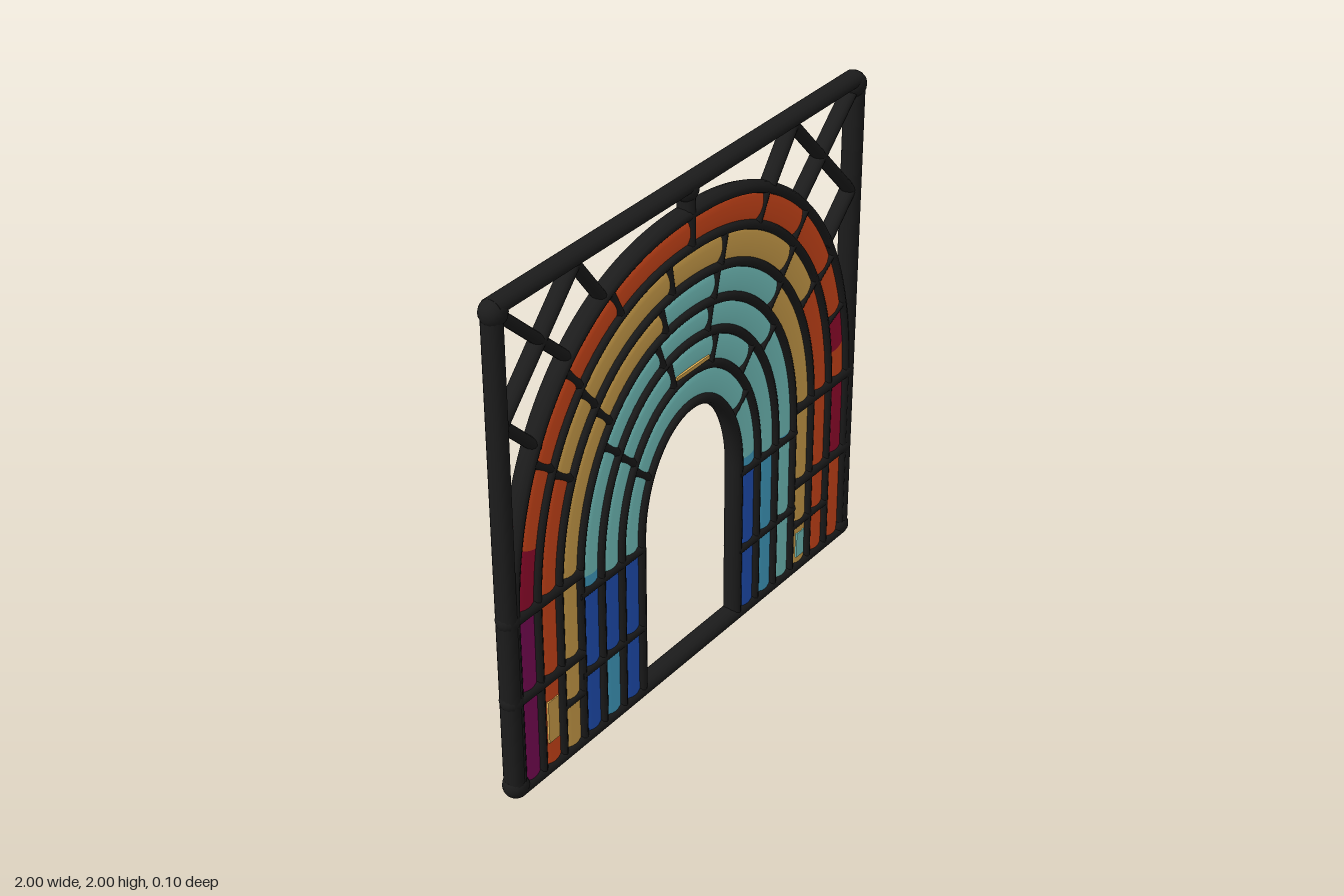
import * as THREE from 'three';
import { ParametricGeometry } from 'three/addons/geometries/ParametricGeometry.js';

const mat = (name, color) => {
  const m = new THREE.MeshStandardMaterial({ color });
  m.name = name;
  return m;
};

export function createModel() {
  const group = new THREE.Group();
  const lead = mat('black lead', 0x1c1c1c);
  const glass = {
    o: mat('orange glass', 0xf85621),
    y: mat('yellow glass', 0xeab656),
    c: mat('turquoise glass', 0x82dad5),
    l: mat('light blue glass', 0x4ab2da),
    b: mat('blue glass', 0x245acb),
    p: mat('purple glass', 0x880b60),
    r: mat('crimson glass', 0xa80c34),
  };

  const BASE = 0.7; // height where the columns turn into arches
  const halfWidths = [0.28, 0.39, 0.5, 0.61, 0.72, 0.83, 0.94];
  const tops = [1.12, 1.25, 1.375, 1.49, 1.61, 1.74, 1.865];

  // Point on arch line i. t: -90..0 right column, 0..180 arch, 180..270 left column
  const linePoint = (i, t) => {
    const a = halfWidths[i], b = tops[i] - BASE;
    if (t < 0) return new THREE.Vector3(a, BASE * (1 + t / 90), 0);
    if (t > 180) return new THREE.Vector3(-a, BASE * (1 - (t - 180) / 90), 0);
    const k = 2 / (2 + 0.042 * i);
    const c = Math.cos(t * Math.PI / 180), s = Math.max(0, Math.sin(t * Math.PI / 180));
    return new THREE.Vector3(Math.sign(c) * a * Math.abs(c) ** k, BASE + b * s ** k, 0);
  };

  const add = (name, geo, material) => {
    const mesh = new THREE.Mesh(geo, material);
    mesh.name = name;
    group.add(mesh);
    return mesh;
  };

  // Round lead bar between two points, stretched in depth
  const bar = (name, x0, y0, x1, y1, r, depth) => {
    const dx = x1 - x0, dy = y1 - y0;
    const geo = new THREE.CylinderGeometry(r, r, Math.hypot(dx, dy), 14);
    geo.rotateZ(Math.atan2(dy, dx) - Math.PI / 2);
    geo.translate((x0 + x1) / 2, (y0 + y1) / 2, 0);
    geo.scale(1, 1, depth / r);
    return add(name, geo, lead);
  };

  // Pillow-shaped pane between arch lines i and i + 1, as a front and a back half
  const pane = (i, t0, t1, front, back = front) => {
    [front, back].forEach((colour, half) => {
      const geo = new ParametricGeometry((u, v, target) => {
        const t = t0 + (t1 - t0) * u, phi = (v + half) * Math.PI;
        target.copy(linePoint(i, t)).lerp(linePoint(i + 1, t), 0.5 + 0.5 * Math.cos(phi));
        target.z = 0.029 * Math.sin(phi);
      }, Math.max(4, Math.ceil((t1 - t0) / 4)), 10);
      add(half ? 'glassPaneBack' : 'glassPaneFront', geo, glass[colour]);
    });
  };

  // Outer frame with chunky corners
  for (const s of [-1, 1]) {
    bar('frameSide', s * 0.96, 0.03, s * 0.96, 1.97, 0.031, 0.041);
    for (const y of [0.05, 1.95]) {
      const knob = add('frameCorner', new THREE.SphereGeometry(0.048, 16, 12), lead);
      knob.position.set(s * 0.952, y, 0);
    }
  }
  bar('frameTop', -0.96, 1.97, 0.96, 1.97, 0.028, 0.041);
  bar('frameBottom', -0.96, 0.032, 0.96, 0.032, 0.028, 0.041);

  // Nested arch lines
  for (let i = 0; i < halfWidths.length; i++) {
    const pts = [-86, -60, -30];
    for (let t = -4; t <= 184; t += 4) pts.push(t);
    pts.push(210, 240, 266);
    const r = i === 0 ? 0.025 : 0.0225;
    const curve = new THREE.CatmullRomCurve3(pts.map((t) => linePoint(i, t)));
    const geo = new THREE.TubeGeometry(curve, 140, r, 10);
    geo.scale(1, 1, 0.038 / r);
    add('archLine', geo, lead);
  }

  // Arch panes, listed right to left: cut angles and the colours between them
  const arches = [
    [[-4, 3, 35, 145, 184], 'lccc'],
    [[-4, 46, 75, 104, 142, 184], 'ccccc'],
    [[-4, -1, 39, 81, 107, 141, 178, 184], 'lcccccl'],
    [[3, 46, 80, 102, 134, 177], 'yccyy'],
    [[3, 31, 47, 79, 97, 133, 151, 177], 'oyyyyyo'],
    [[3, 9, 17, 30, 48, 66, 90, 114, 132, 150, 166, 177], 'oroooooooor'],
  ];
  arches.forEach(([cuts, colours], i) => {
    for (let k = 0; k < colours.length; k++) {
      pane(i, cuts[k], cuts[k + 1], colours[k]);
      // colour changes low in the arches have no lead joint
      if (cuts[k] < 10 || cuts[k] > 165) continue;
      const p = linePoint(i, cuts[k]), q = linePoint(i + 1, cuts[k]);
      bar('archJoint', p.x, p.y, q.x, q.y, 0.021, 0.035);
    }
  });

  // Crimson glass rim showing past the outermost line
  for (const start of [7, 161]) {
    const pts = [0, 4, 8, 12].map((d) => {
      const p = linePoint(6, start + d);
      return p.setX(p.x + Math.sign(p.x) * 0.017);
    });
    add('crimsonRim', new THREE.TubeGeometry(new THREE.CatmullRomCurve3(pts), 12, 0.012, 8), glass.r);
  }

  // Column panes from the inside out: upper front and back, lower front and back
  const columns = {
    right: ['bbbb', 'llll', 'clcl', 'yyyy', 'oooo', 'rror'],
    left: ['bbbb', 'bbll', 'bbbb', 'yyyy', 'oooo', 'pppp'],
  };
  for (const side of ['right', 'left']) {
    columns[side].forEach((colours, i) => {
      const split = ((i < 3 ? 0.33 : 0.43) / BASE - 1) * 90;
      const top = i < 3 ? -4 : 3;
      [[split, top], [-87, split]].forEach(([t0, t1], k) => {
        const [front, back] = colours.slice(k * 2);
        if (side === 'right') pane(i, t0, t1, front, back);
        else pane(i, 180 - t1, 180 - t0, front, back);
      });
    });
  }

  // Crossbars of the columns
  for (const s of [-1, 1]) {
    for (const y of [0.67, 0.325]) bar('innerCrossbar', s * 0.275, y, s * 0.62, y, 0.025, 0.039);
    for (const y of [0.766, 0.425]) {
      bar('outerCrossbar', s * 0.61, y, s * 0.96, y, 0.029, 0.042);
      const joint = add('frameJoint', new THREE.SphereGeometry(0.044, 14, 10), lead);
      joint.position.set(s * 0.952, y, 0);
    }
  }
  bar('lowCrossbar', -0.72, 0.25, -0.61, 0.25, 0.024, 0.038);
  bar('lowCrossbar', 0.61, 0.235, 0.83, 0.235, 0.024, 0.038);

  // Small odd-coloured inlays on the front
  const inlay = (name, x, y, w, h, colour) => {
    add(name, new THREE.BoxGeometry(w, h, 0.008), glass[colour]).position.set(x, y, 0.028);
  };
  inlay('yellowInlay', -0.778, 0.24, 0.055, 0.18, 'y');
  inlay('turquoiseInlay', 0.665, 0.135, 0.046, 0.11, 'c');
  inlay('yellowSliver', 0, 1.27, 0.18, 0.014, 'y');

  // Corner lattice and the top tie
  const lattice = [
    [0.95, 1.95, 0.63, 1.63], [0.58, 1.95, 0.95, 1.53],
    [0.58, 1.95, 0.455, 1.772], [0.95, 1.54, 0.79, 1.373],
  ];
  for (const s of [-1, 1]) {
    for (const [x0, y0, x1, y1] of lattice) bar('cornerLattice', s * x0, y0, s * x1, y1, 0.021, 0.032);
  }
  bar('topTie', 0, 1.75, 0, 1.97, 0.023, 0.037);
  const boss = add('topJoint', new THREE.SphereGeometry(0.044, 14, 10), lead);
  boss.position.set(0, 1.953, 0);

  return group;
}
